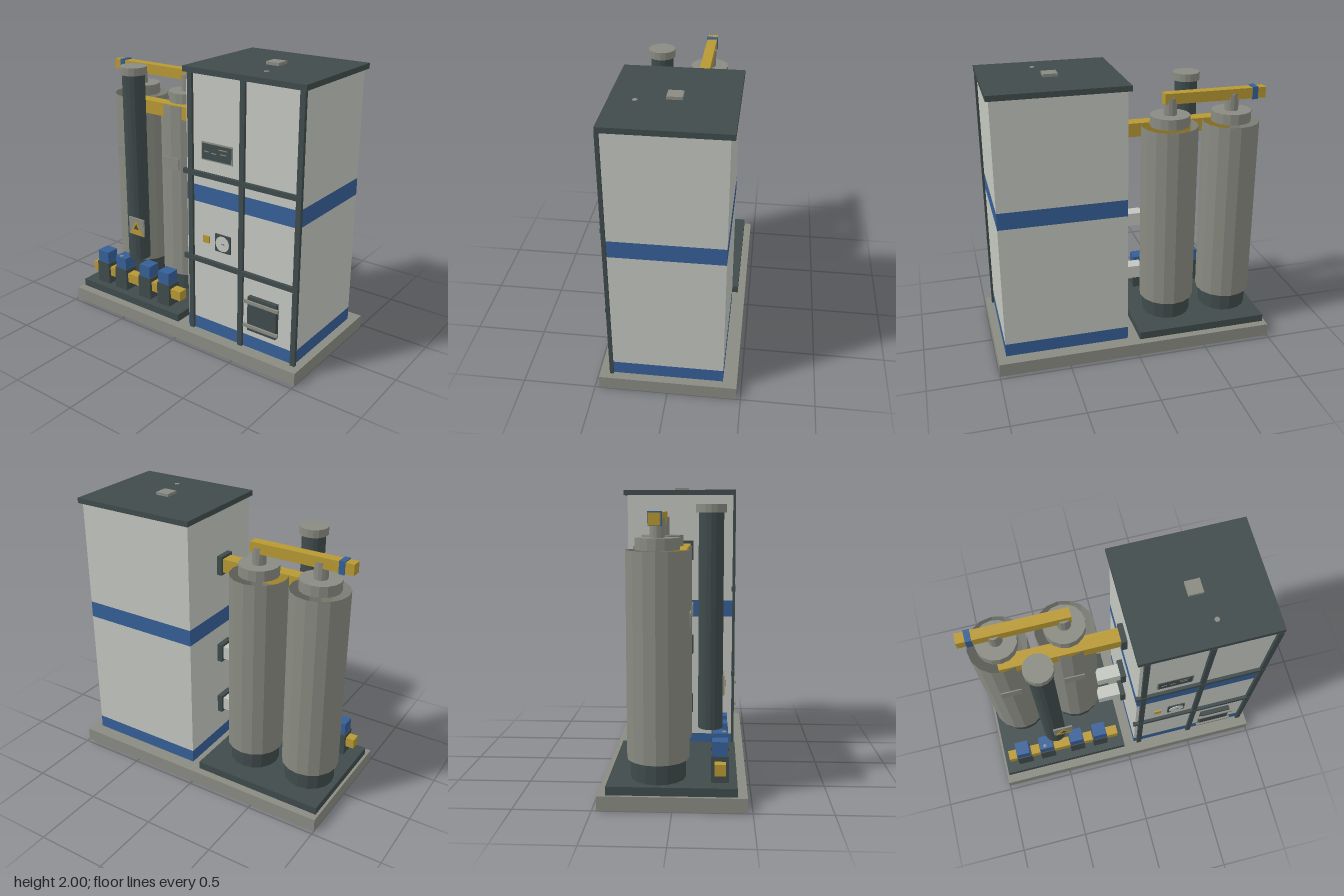
import * as THREE from 'three';

export function createModel() {
  const model = new THREE.Group();
  const mat = (name, color, extra = {}) => {
    const m = new THREE.MeshStandardMaterial({ color, ...extra });
    m.name = name;
    return m;
  };
  const panel = mat('pale panel', 0xc3c6bf);
  const steel = mat('grey steel', 0x898b82, { flatShading: true, side: THREE.DoubleSide });
  const dark = mat('dark slate', 0x404b4c, { flatShading: true });
  const blue = mat('blue', 0x365f97);
  const yellow = mat('ochre yellow', 0xb79833);

  const add = (name, geo, material, x = 0, y = 0, z = 0) => {
    const mesh = new THREE.Mesh(geo, material);
    mesh.name = name;
    mesh.position.set(x, y, z);
    model.add(mesh);
    return mesh;
  };
  // Box given by its limits on each axis
  const box = (name, material, x0, x1, y0, y1, z0, z1) =>
    add(name, new THREE.BoxGeometry(x1 - x0, y1 - y0, z1 - z0), material,
      (x0 + x1) / 2, (y0 + y1) / 2, (z0 + z1) / 2);
  // Upright cylinder from y0 to y1
  const cyl = (name, material, r, x, z, y0, y1, sides = 16, open = false) =>
    add(name, new THREE.CylinderGeometry(r, r, y1 - y0, sides, 1, open), material, x, (y0 + y1) / 2, z);

  // Skid base: thin deck with skirts and a middle rib, hollow below
  box('baseDeck', steel, -1, 1, 0.085, 0.095, -0.47, 0.468);
  for (const z of [-0.47, 0.458]) box('baseSideSkirt', steel, -1, 1, 0, 0.09, z, z + 0.01);
  for (const x of [-1, -0.005, 0.99]) box('baseCrossRib', steel, x, x + 0.01, 0, 0.09, -0.465, 0.463);

  // Equipment tray under the tanks
  box('tray', dark, -0.98, -0.025, 0.08, 0.15, -0.415, 0.405);

  // Pair of open-shouldered tanks
  for (const x of [-0.765, -0.315]) {
    cyl('tankSkirt', dark, 0.177, x, -0.1, 0.15, 0.285);
    cyl('tankBody', steel, 0.2, x, -0.1, 0.28, 1.6, 16, true);
    cyl('tankCap', steel, 0.14, x, -0.1, 1.6, 1.675);
    cyl('tankNeck', steel, 0.048, x, -0.1, 1.675, 1.795, 12);
    box('tankPlate', steel, x - 0.073, x + 0.073, 1.13, 1.215, 0.1, 0.108);
  }

  // Overhead pipe with clamp
  box('topPipe', yellow, -1, -0.265, 1.755, 1.83, -0.14, -0.068);
  box('pipeClamp', blue, -0.94, -0.9, 1.749, 1.837, -0.146, -0.062);

  // Header pipe and stubs entering the cabinet side
  box('headerPipe', yellow, -0.79, 0.03, 1.505, 1.602, -0.02, 0.08);
  for (const y of [0.43, 0.867]) box('sideStub', panel, -0.15, 0.03, y - 0.048, y + 0.048, -0.018, 0.078);
  for (const y of [0.43, 0.867, 1.553]) box('sideFlange', dark, 0.02, 0.06, y - 0.068, y + 0.068, -0.038, 0.098);

  // Vent column
  cyl('ventColumn', dark, 0.081, -0.54, 0.23, 0.415, 1.83);
  cyl('ventColumnCap', steel, 0.098, -0.54, 0.23, 1.825, 1.88);

  // Warning sign on the column
  box('signPlate', steel, -0.552, -0.408, 0.632, 0.765, 0.31, 0.322);
  const triangle = (name, material, size, y, z) => {
    const s = new THREE.Shape();
    s.moveTo(-size, 0);
    s.lineTo(size, 0);
    s.lineTo(0, size * 1.8);
    add(name, new THREE.ExtrudeGeometry(s, { depth: 0.004, bevelEnabled: false }), material, -0.478, y, z);
  };
  triangle('signTriangle', yellow, 0.064, 0.636, 0.322);
  triangle('signMark', dark, 0.022, 0.68, 0.325);

  // Manifold with four actuated valves
  box('manifold', yellow, -0.94, -0.065, 0.215, 0.288, 0.26, 0.332);
  for (const x of [-0.82, -0.635, -0.395, -0.21]) {
    box('valveBody', dark, x - 0.057, x + 0.057, 0.15, 0.32, 0.238, 0.352);
    box('valveActuator', blue, x - 0.05, x + 0.05, 0.32, 0.412, 0.245, 0.345);
  }
  cyl('actuatorButton', steel, 0.014, -0.645, 0.323, 0.412, 0.416, 12);

  // Cabinet stacked in colour bands
  const bands = [[0.095, 0.19, blue], [0.19, 1.07, panel], [1.07, 1.19, blue], [1.19, 1.945, panel]];
  for (const [y0, y1, m] of bands)
    box(m === blue ? 'cabinetStripe' : 'cabinetPanel', m, 0.058, 0.94, y0, y1, -0.375, 0.38);
  box('roof', dark, 0.038, 0.96, 1.943, 1.98, -0.402, 0.397);
  box('roofHatch', steel, 0.447, 0.547, 1.98, 2, -0.055, 0.045);
  cyl('roofButton', steel, 0.017, 0.575, 0.23, 1.98, 1.984, 12);

  // Front frame
  for (const x of [0.08, 0.495, 0.92]) box('framePost', dark, x, x + 0.036, 0.095, 1.945, 0.375, 0.4);
  for (const y of [0.633, 1.258]) box('frameRail', dark, 0.04, 0.957, y, y + 0.034, 0.375, 0.403);

  // Control display
  box('displayFrame', steel, 0.185, 0.435, 1.378, 1.502, 0.38, 0.388);
  box('displayScreen', dark, 0.194, 0.426, 1.387, 1.493, 0.385, 0.392);
  for (const [x0, x1, y] of [[0.21, 0.25, 1.437], [0.27, 0.31, 1.432], [0.33, 0.4, 1.465], [0.34, 0.39, 1.437]])
    box('displayLine', steel, x0, x1, y, y + 0.006, 0.39, 0.394);

  // Gauge and push button
  box('gaugePlate', dark, 0.298, 0.424, 0.75, 0.876, 0.38, 0.39);
  cyl('gaugeFace', panel, 0.055, 0.361, 0, -0.004, 0.004, 16).rotation.x = Math.PI / 2;
  model.children.at(-1).position.set(0.361, 0.813, 0.391);
  box('gaugeNeedle', dark, 0.359, 0.381, 0.811, 0.816, 0.394, 0.397);
  box('pushButton', yellow, 0.196, 0.247, 0.787, 0.838, 0.38, 0.39);

  // Louvre with grab bars
  box('louvre', dark, 0.585, 0.81, 0.25, 0.502, 0.38, 0.413);
  for (const y of [0.288, 0.468]) box('louvreBar', steel, 0.56, 0.832, y - 0.011, y + 0.011, 0.41, 0.427);

  return model;
}
